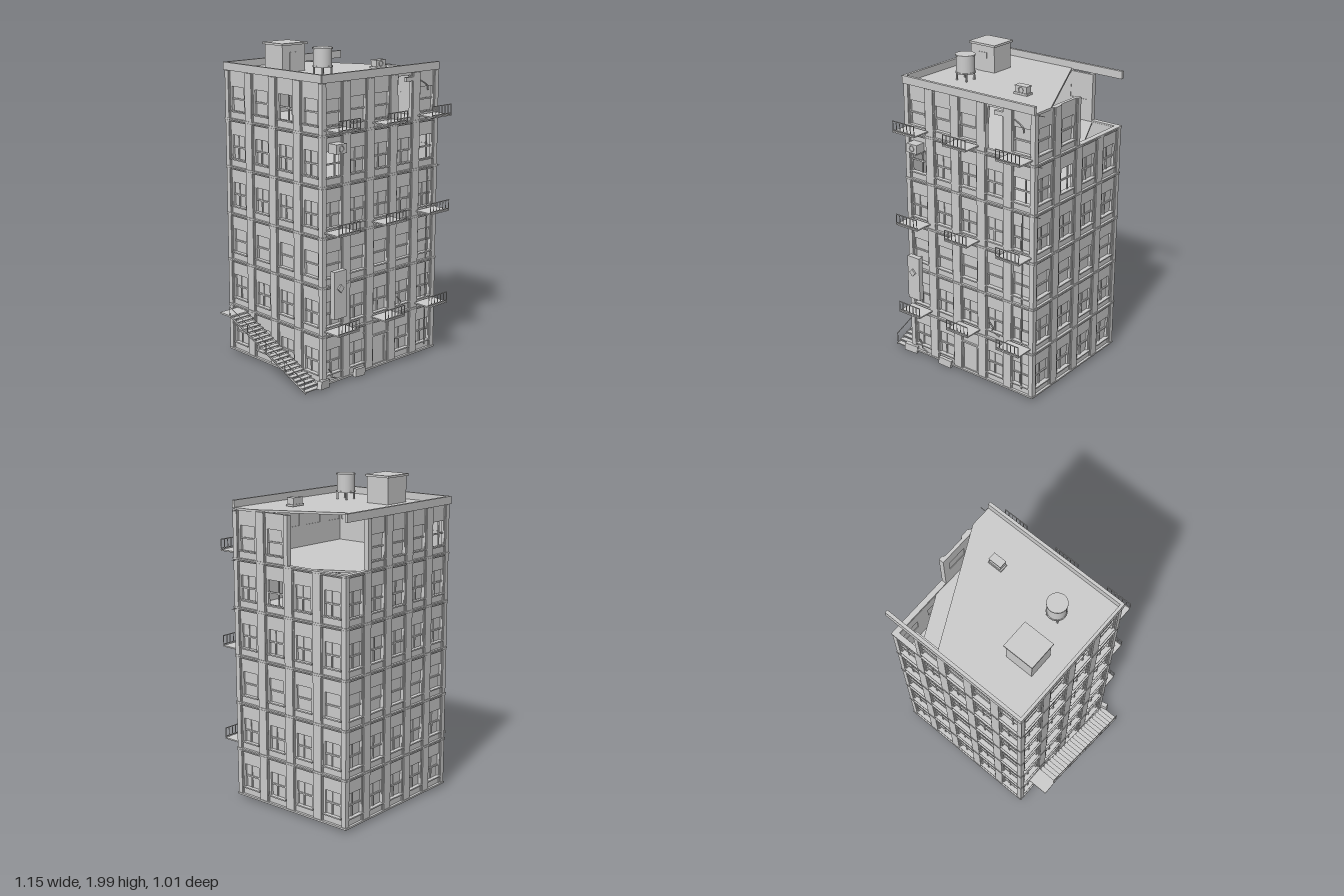
import * as THREE from 'three';
import { mergeGeometries } from 'three/addons/utils/BufferGeometryUtils.js';

const concrete = new THREE.MeshStandardMaterial({ color: 0xcccccc });
concrete.name = 'concrete grey';

const X0 = -0.435, X1 = 0.54, Z0 = -0.495, Z1 = 0.38;
const BASE = 0.025, FLOOR = 0.299, ROOF = BASE + 6 * FLOOR;

// Positioned box geometry
const boxGeo = (w, h, d, x, y, z) =>
  new THREE.BoxGeometry(w, h, d).translate(x, y, z).toNonIndexed();

function add(parent, name, geometry) {
  const mesh = new THREE.Mesh(geometry, concrete);
  mesh.name = name;
  parent.add(mesh);
  return mesh;
}

function box(parent, name, w, h, d, x, y, z, roll = 0, yaw = 0) {
  const mesh = add(parent, name, new THREE.BoxGeometry(w, h, d));
  mesh.position.set(x, y, z);
  mesh.rotation.set(0, yaw, roll);
  return mesh;
}

// Thin rod between two points
function rod(parent, name, a, b, r = 0.0025) {
  const p = new THREE.Vector3(...a), q = new THREE.Vector3(...b);
  const dir = q.clone().sub(p);
  const mesh = add(parent, name, new THREE.CylinderGeometry(r, r, dir.length(), 6));
  mesh.position.copy(p).add(q).multiplyScalar(0.5);
  mesh.quaternion.setFromUnitVectors(new THREE.Vector3(0, 1, 0), dir.normalize());
  return mesh;
}

function outline(points) {
  return new THREE.Shape(points.map(([x, y]) => new THREE.Vector2(x, y)));
}

// One bay of a wall: pierced panel, side pilasters, window frame and sashes
const bays = {};
function bayGeometry(width, kind) {
  const key = width + kind;
  if (bays[key]) return bays[key];
  const w = width / 2, holes = {
    door: [[-0.062, 0.012], [0.062, 0.012], [0.062, 0.2], [-0.062, 0.2]],
    breach: [[-0.06, 0.028], [0.062, 0.028], [0.062, 0.25], [0.05, 0.285], [-0.05, 0.285], [-0.06, 0.17], [-0.068, 0.16]],
  };
  const shape = outline([[-w, 0], [w, 0], [w, FLOOR], [-w, FLOOR]]);
  const hole = holes[kind] || [[-0.063, 0.055], [0.063, 0.055], [0.063, 0.212], [-0.063, 0.212]];
  shape.holes.push(outline(hole));
  const parts = [new THREE.ExtrudeGeometry(shape, { depth: 0.02, bevelEnabled: false }).translate(0, 0, -0.032)];
  for (const s of [-1, 1]) {
    parts.push(boxGeo(0.03, FLOOR, 0.03, s * (w - 0.015), FLOOR / 2, -0.015));
    parts.push(boxGeo(0.008, FLOOR, 0.02, s * (w - 0.034), FLOOR / 2, -0.017));
  }
  if (kind === 'door') {
    parts.push(boxGeo(0.124, 0.19, 0.008, 0, 0.105, -0.022));
    parts.push(boxGeo(0.006, 0.16, 0.006, 0.045, 0.1, -0.016));
    parts.push(boxGeo(0.136, 0.01, 0.02, 0, 0.205, -0.009));
  } else if (kind === 'breach') {
    parts.push(boxGeo(0.085, 0.025, 0.02, 0.045, 0.262, -0.01));
    parts.push(boxGeo(0.035, 0.14, 0.02, -0.078, 0.105, -0.012));
  } else {
    parts.push(boxGeo(0.136, 0.008, 0.022, 0, 0.053, -0.009));
    for (const s of [-1, 1]) parts.push(boxGeo(0.006, 0.157, 0.016, s * 0.06, 0.1335, -0.02));
    parts.push(boxGeo(0.126, 0.007, 0.016, 0, 0.2085, -0.02));
    parts.push(boxGeo(0.126, 0.009, 0.01, 0, 0.13, -0.021));
    if (kind !== 'plain') parts.push(boxGeo(0.008, 0.157, 0.008, kind === 'broken' ? 0.02 : -0.012, 0.1335, -0.023));
    if (kind !== 'broken') {
      parts.push(boxGeo(0.126, 0.08, 0.004, 0, 0.172, -0.026));
      parts.push(boxGeo(0.126, 0.08, 0.004, 0, 0.095, -0.03));
    }
  }
  return (bays[key] = mergeGeometries(parts));
}

// A full wall; special maps "row,bay" to a kind of bay or to 'missing'
function wall(parent, name, x, z, yaw, count, length, special) {
  const group = new THREE.Group();
  group.name = name;
  group.position.set(x, BASE, z);
  group.rotation.y = yaw;
  parent.add(group);
  const pitch = length / count;
  for (let row = 0; row < 6; row++) {
    for (let i = 0; i < count; i++) {
      const kind = special[`${row},${i}`] || (row % 3 === 2 ? 'plain' : 'window');
      if (kind === 'missing') continue;
      const bay = add(group, 'wallBay', bayGeometry(pitch, kind));
      bay.position.set((i + 0.5) * pitch - length / 2, row * FLOOR, 0);
    }
    // Paired string courses at each floor line
    box(group, 'floorLedge', length + 0.008, 0.009, 0.034, 0, row * FLOOR + 0.004, -0.013);
    if (row < 5) box(group, 'floorLedge', length + 0.004, 0.006, 0.032, 0, (row + 1) * FLOOR - 0.008, -0.014);
  }
}

// Horizontal slab from an x-z outline
function slab(parent, name, points, top, thickness) {
  const geo = new THREE.ExtrudeGeometry(outline(points), { depth: thickness, bevelEnabled: false });
  add(parent, name, geo.rotateX(Math.PI / 2).translate(0, top, 0));
}

function balcony(parent, x, y) {
  const g = new THREE.Group();
  g.name = 'balcony';
  g.position.set(x, y, 0);
  parent.add(g);
  box(g, 'balconyFloor', 0.17, 0.008, 0.125, 0, 0, 0.4405);
  for (const h of [0.012, 0.066]) box(g, 'balconyRail', 0.17, 0.005, 0.005, 0, h, 0.5);
  for (let i = 0; i < 7; i++) box(g, 'balconyBar', 0.004, 0.068, 0.004, -0.083 + i * 0.0277, 0.034, 0.5);
}

export function createModel() {
  const model = new THREE.Group();
  model.name = 'ruinedApartmentBuilding';
  const cx = (X0 + X1) / 2, cz = (Z0 + Z1) / 2, W = X1 - X0, D = Z1 - Z0;

  // Walls
  wall(model, 'frontWall', cx, Z1, 0, 5, W, { '0,2': 'door', '4,0': 'broken', '4,4': 'broken', '5,3': 'breach' });
  wall(model, 'leftWall', X1, cz, Math.PI / 2, 4, D, { '4,1': 'broken', '5,2': 'missing', '5,3': 'missing' });
  wall(model, 'backWall', cx, Z0, Math.PI, 5, W, { '5,0': 'missing', '5,4': 'broken' });
  wall(model, 'rightWall', X0, cz, -Math.PI / 2, 4, D, { '5,2': 'broken' });

  // Ground slab, upper floors and roof, with the collapsed corner cut off diagonally
  const l = X0 + 0.015, r = X1 - 0.012, b = Z0 + 0.012, f = Z1 - 0.015;
  slab(model, 'groundSlab', [[X0, Z0], [X1, Z0], [X1, Z1], [X0, Z1]], 0.032, 0.012);
  slab(model, 'fifthFloor', [[l, b], [0.515, b], [r, -0.46], [r, f], [l, f]], BASE + 4 * FLOOR, 0.012);
  slab(model, 'sixthFloor', [[l, b], [0.34, b], [r, -0.11], [r, f], [l, f]], BASE + 5 * FLOOR, 0.012);
  slab(model, 'roof', [[l, b], [0.175, b], [X1 - 0.005, 0.23], [X1 - 0.005, f], [l, f]], ROOF + 0.008, 0.014);

  // Parapets
  box(model, 'frontParapet', W + 0.002, 0.048, 0.02, cx - 0.004, 1.846, 0.376);
  box(model, 'backParapet', W + 0.002, 0.048, 0.02, cx - 0.004, 1.846, -0.494);
  box(model, 'rightParapet', 0.018, 0.048, D, X0 + 0.003, 1.846, cz);

  // Roof stair house
  box(model, 'stairHouse', 0.18, 0.165, 0.16, -0.22, 1.905, -0.18);
  box(model, 'stairHouseCap', 0.2, 0.013, 0.18, -0.22, 1.9935, -0.18);
  box(model, 'stairHouseDoor', 0.07, 0.12, 0.006, -0.22, 1.885, -0.099);

  // Water tank on legs
  const tank = add(model, 'waterTank', new THREE.CylinderGeometry(0.056, 0.056, 0.108, 24));
  tank.position.set(-0.18, 1.93, 0.11);
  for (const y of [1.876, 1.982]) {
    add(model, 'tankRim', new THREE.CylinderGeometry(0.061, 0.061, 0.008, 24)).position.set(-0.18, y, 0.11);
  }
  for (const sx of [-1, 1]) for (const sz of [-1, 1]) {
    box(model, 'tankLeg', 0.009, 0.05, 0.009, -0.18 + sx * 0.036, 1.85, 0.11 + sz * 0.036);
  }

  // Rooftop cooling unit with round fan
  box(model, 'roofUnit', 0.08, 0.05, 0.045, 0.265, 1.855, 0.13);
  box(model, 'roofUnitBase', 0.095, 0.012, 0.055, 0.265, 1.836, 0.13);
  box(model, 'roofUnitTop', 0.086, 0.006, 0.05, 0.265, 1.879, 0.13);
  add(model, 'roofUnitFan', new THREE.TorusGeometry(0.016, 0.003, 6, 16)).position.set(0.265, 1.858, 0.154);

  // Balconies on alternate floors and bays
  for (const y of [0.358, 0.957, 1.555]) for (const x of [-0.335, 0.053, 0.44]) balcony(model, x, y);

  // Outside stair with landing
  const stair = new THREE.Group();
  stair.name = 'outsideStair';
  model.add(stair);
  box(stair, 'landing', 0.135, 0.01, 0.105, -0.5075, 0.314, -0.36);
  const steps = 22;
  for (let i = 0; i < steps; i++) {
    box(stair, 'step', 0.128, 0.006, 0.034, -0.506, 0.303 - i * 0.0135, -0.293 + i * 0.0313);
  }
  for (const x of [-0.568, -0.445]) rod(stair, 'stringer', [x, 0.308, -0.31], [x, 0.012, 0.38], 0.005);
  rod(stair, 'handrail', [-0.572, 0.375, -0.32], [-0.572, 0.085, 0.375], 0.003);
  for (let i = 0; i < 5; i++) {
    const t = i / 4, y = 0.305 - t * 0.285, z = -0.32 + t * 0.69;
    rod(stair, 'railPost', [-0.572, y, z], [-0.572, y + 0.07, z]);
  }

  // Hanging sign board with brackets
  box(model, 'signBoard', 0.095, 0.29, 0.034, -0.347, 0.585, 0.423);
  for (const y of [0.47, 0.7]) box(model, 'signBracket', 0.012, 0.012, 0.05, -0.347, y, 0.385);
  box(model, 'signOrnament', 0.035, 0.035, 0.012, -0.35, 0.625, 0.444, Math.PI / 4);

  // Window cooling unit
  box(model, 'windowUnit', 0.08, 0.056, 0.07, -0.335, 1.447, 0.4);
  add(model, 'windowUnitFan', new THREE.TorusGeometry(0.017, 0.003, 6, 16)).position.set(-0.335, 1.447, 0.436);

  // Drain pipe and bent reinforcing rods at the corner
  rod(model, 'drainPipe', [0.455, 0.06, 0.378], [0.455, 1.22, 0.378], 0.004);
  [[1.812, 0.345], [1.517, 0.357], [1.217, 0.369]].forEach(([y, z]) => {
    rod(model, 'reinforcingRod', [0.5, y - 0.002, z], [0.575, y, z]);
  });

  // Cracks as thin zigzag strips
  const cracks = [
    [[-0.09, 0.27], [-0.055, 0.245], [-0.06, 0.225], [-0.015, 0.195]],
    [[0.205, 0.43], [0.235, 0.4], [0.225, 0.38], [0.28, 0.355]],
    [[0.39, 1.765], [0.42, 1.75], [0.45, 1.73], [0.455, 1.7]],
    [[-0.375, 0.11], [-0.35, 0.075], [-0.355, 0.055], [-0.31, 0.035]],
  ];
  for (const c of cracks) for (let i = 0; i < 3; i++) {
    const [ax, ay] = c[i], [bx, by] = c[i + 1];
    box(model, 'crack', Math.hypot(bx - ax, by - ay), 0.005, 0.008, (ax + bx) / 2, (ay + by) / 2, 0.371, Math.atan2(by - ay, bx - ax));
  }

  // Fallen rubble at the foot of the front wall
  box(model, 'rubble', 0.09, 0.05, 0.03, -0.432, 0.036, 0.385, -0.13, 0.25);
  box(model, 'rubble', 0.092, 0.05, 0.022, -0.14, 0.036, 0.39, -0.12, 0.12);
  return model;
}
